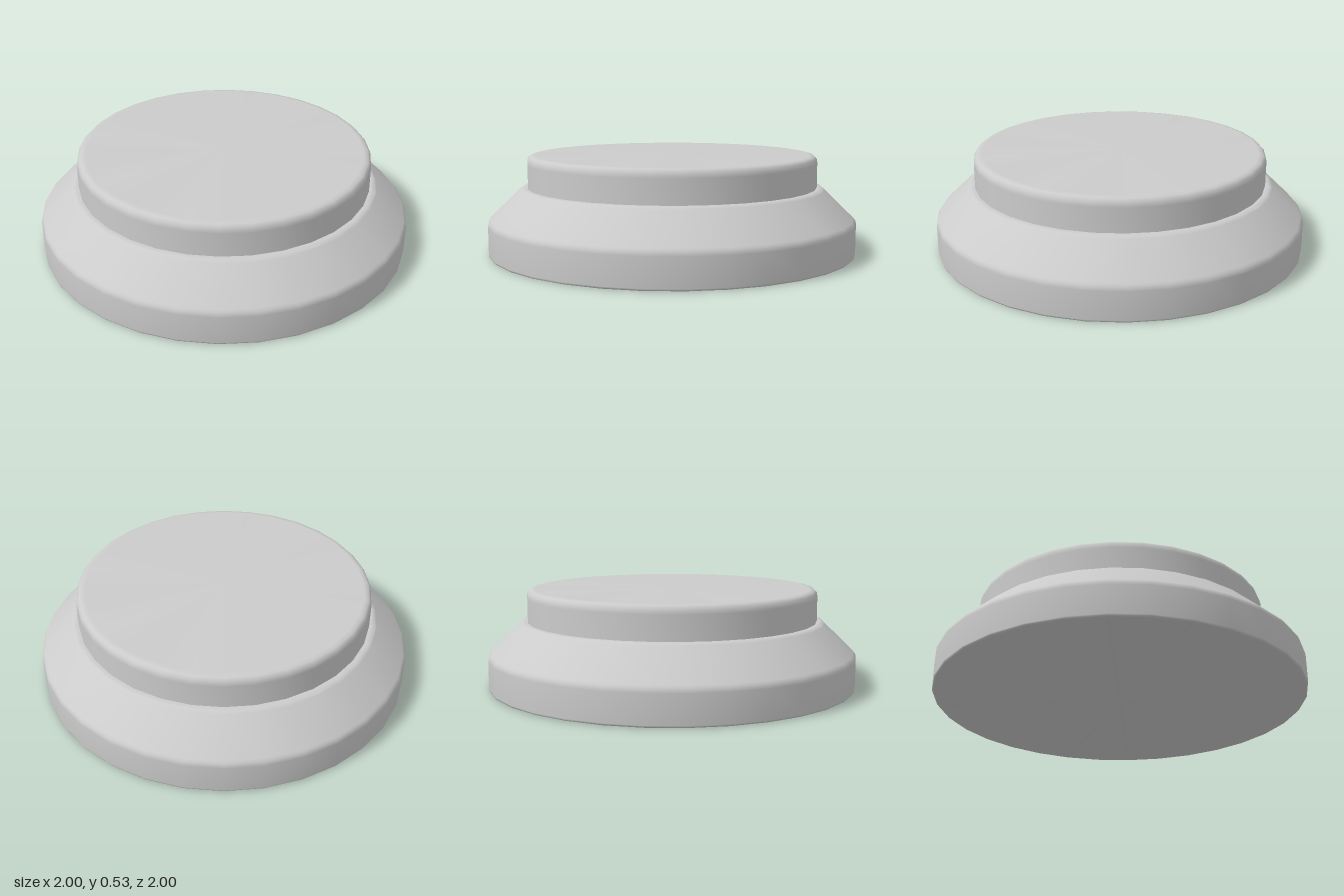
import * as THREE from 'three';
import { toCreasedNormals } from 'three/addons/utils/BufferGeometryUtils.js';

const SIDES = 32;

// Turned part from [radius, height] corners; [r, y, bevel] rounds that corner.
// Extra rings beside each bevel keep the broad faces evenly shaded.
function turned(name, corners, material) {
  const points = [];
  corners.forEach(([r, y, bevel], i) => {
    const p = new THREE.Vector2(r, y);
    if (!bevel) return points.push(p);
    const towards = (q, d) => p.clone().add(new THREE.Vector2(q[0] - r, q[1] - y).setLength(d));
    const prev = corners[i - 1], next = corners[i + 1];
    const curve = new THREE.QuadraticBezierCurve(towards(prev, bevel), p, towards(next, bevel));
    points.push(towards(prev, bevel * 1.2), ...curve.getPoints(3), towards(next, bevel * 1.2));
  });
  const geometry = toCreasedNormals(new THREE.LatheGeometry(points, SIDES), 0.75);
  const mesh = new THREE.Mesh(geometry, material);
  mesh.name = name;
  return mesh;
}

export function createModel() {
  const group = new THREE.Group();
  group.name = 'steppedRoundBase';
  const material = new THREE.MeshStandardMaterial({ color: 0xcccccc });

  // Wide foot with a sloping shoulder
  group.add(turned('foot', [
    [0, 0], [1, 0, 0.012], [1, 0.18, 0.02], [0.816, 0.357, 0.016], [0.77, 0.357], [0, 0.357],
  ], material));

  // Raised disc with a bevelled rim
  group.add(turned('topDisc', [
    [0, 0.35], [0.787, 0.35], [0.787, 0.53, 0.038], [0, 0.53],
  ], material));

  return group;
}
